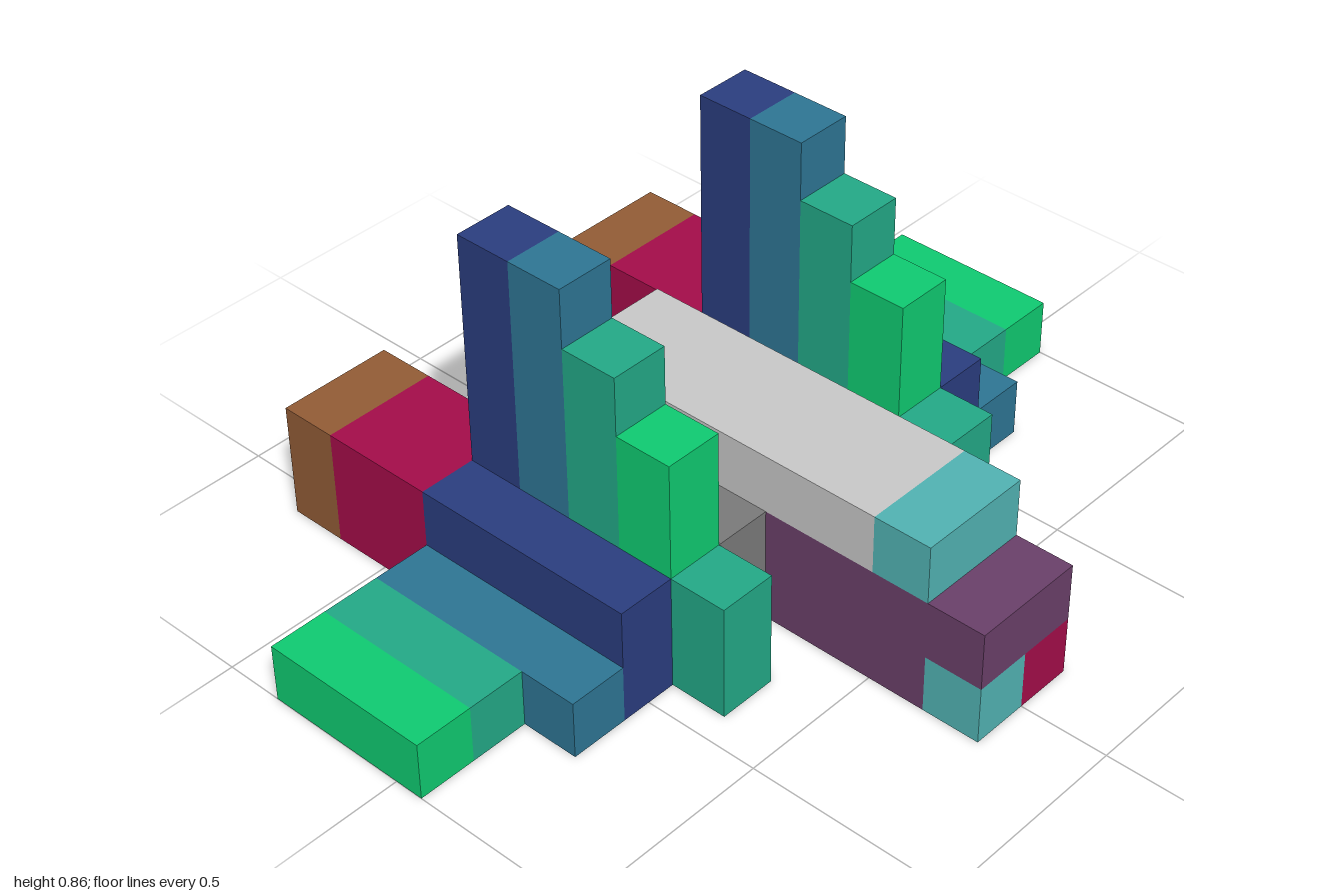
import * as THREE from 'three';

const U = 1 / 7; // one building block

const paint = (name, color) => {
  const m = new THREE.MeshStandardMaterial({ color });
  m.name = name;
  return m;
};

export function createModel() {
  const mats = {
    green: paint('bright green', 0x0fcc72),
    teal: paint('teal green', 0x23aa88),
    blue: paint('steel blue', 0x2e7695),
    navy: paint('navy', 0x2b3e80),
    grey: paint('mid grey', 0x7b7b7b),
    light: paint('light grey', 0xc9c9c9),
    cyan: paint('pale cyan', 0x52b4b4),
    plum: paint('plum', 0x6b406a),
    crimson: paint('crimson', 0xa50d4a),
    brown: paint('brown', 0x935c36),
  };
  const model = new THREE.Group();
  model.name = 'blockSpaceship';

  // Box between two corners, given in block units
  const block = (parent, name, mat, [x0, x1], [y0, y1], [z0, z1]) => {
    const geo = new THREE.BoxGeometry((x1 - x0) * U, (y1 - y0) * U, (z1 - z0) * U);
    const mesh = new THREE.Mesh(geo, mats[mat]);
    mesh.name = name;
    mesh.position.set((x0 + x1) / 2 * U, (y0 + y1) / 2 * U, (z0 + z1) / 2 * U);
    parent.add(mesh);
  };

  // Fuselage, canopy and nose
  const body = new THREE.Group();
  body.name = 'fuselage';
  model.add(body);
  block(body, 'core', 'grey', [-3, 3], [0, 2], [-1.5, 1.5]);
  block(body, 'tailHull', 'plum', [-1, 1], [0, 2], [-2.5, -1.5]);
  block(body, 'frontHull', 'plum', [-1, 1], [0, 2], [1.5, 4.5]);
  block(body, 'noseTop', 'plum', [-1, 1], [1, 2], [4.5, 5.5]);
  block(body, 'noseLampLeft', 'crimson', [0, 1], [0, 1], [4.5, 5.5]);
  block(body, 'noseLampRight', 'cyan', [-1, 0], [0, 1], [4.5, 5.5]);
  block(body, 'spine', 'light', [-1, 1], [2, 3], [-2.5, 3.5]);
  block(body, 'windscreen', 'cyan', [-1, 1], [2, 3], [3.5, 4.5]);

  // Wing, stepped fin and engine on each side
  for (const [side, s] of [['left', 1], ['right', -1]]) {
    const half = new THREE.Group();
    half.name = side + 'Side';
    model.add(half);
    const add = (name, mat, x, y, z) =>
      block(half, name, mat, s > 0 ? x : [-x[1], -x[0]], y, z);

    // Wing root with the grey underside plate
    add('wingRootRear', 'navy', [3, 4], [0, 2], [-2.5, -1.5]);
    add('wingRootMiddle', 'navy', [3, 4], [0.05, 2], [-1.5, 0.5]);
    add('wingRootFront', 'navy', [3, 4], [0, 2], [0.5, 1.5]);
    add('undersidePlate', 'grey', [3, 4], [0, 0.05], [-1.5, 0.5]);

    // Wing bands out to the tip
    add('innerWing', 'blue', [4, 5], [0, 1], [-2.5, 1.5]);
    add('outerWing', 'teal', [5, 6], [0, 1], [-2.5, 0.5]);
    add('wingTip', 'green', [6, 7], [0, 1], [-2.5, 0.5]);

    // Fin rising in steps to the rear
    add('finFoot', 'teal', [2, 3], [0, 2], [1.5, 2.5]);
    add('finLowStep', 'green', [2, 3], [2, 4], [0.5, 1.5]);
    add('finMiddleStep', 'teal', [2, 3], [2, 5], [-0.5, 0.5]);
    add('finHighStep', 'blue', [2, 3], [2, 6], [-1.5, -0.5]);
    add('finRear', 'navy', [2, 3], [0, 6], [-2.5, -1.5]);

    // Engine and exhaust
    add('engine', 'crimson', [2, 4], [0, 2], [-4.5, -2.5]);
    add('exhaust', 'brown', [2, 4], [0, 2], [-5.5, -4.5]);
  }
  return model;
}
